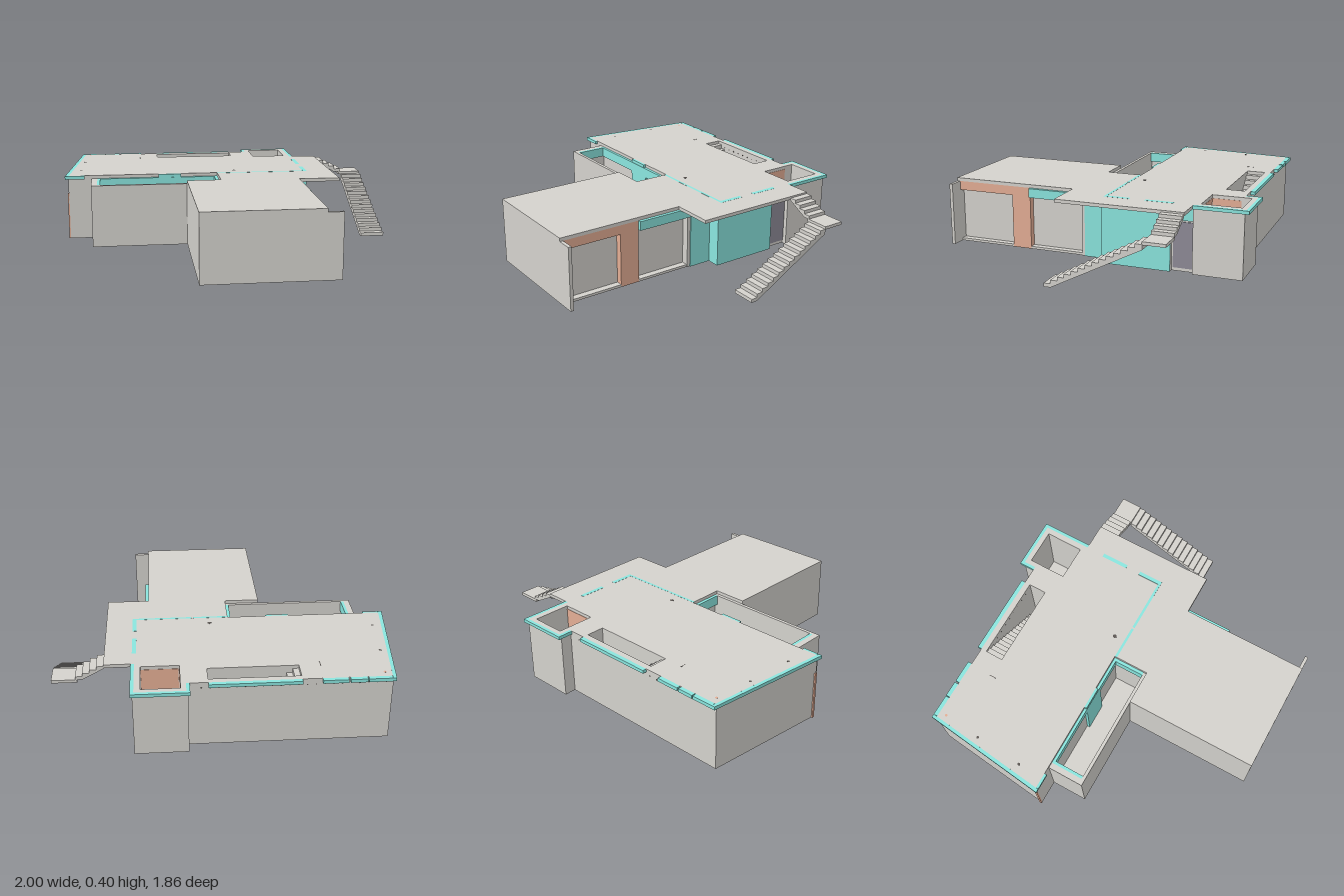
import * as THREE from 'three';

const mat = (name, color) => {
  const m = new THREE.MeshStandardMaterial({ color });
  m.name = name;
  return m;
};

export function createModel() {
  const house = new THREE.Group();
  house.name = 'house';
  const gray = mat('concrete gray', 0xd4d2cd);
  const cyan = mat('trim cyan', 0x8ae5de);
  const orange = mat('wall orange', 0xe4ae95);
  const slate = mat('door slate', 0x8e8b97);
  const dark = mat('fixture dark', 0x5c5753);

  const add = (name, geo, m) => {
    const mesh = new THREE.Mesh(geo, m);
    mesh.name = name;
    house.add(mesh);
  };
  // Box given by its limits on each axis
  const box = (name, m, x0, x1, y0, y1, z0, z1) => {
    const g = new THREE.BoxGeometry(x1 - x0, y1 - y0, z1 - z0);
    g.translate((x0 + x1) / 2, (y0 + y1) / 2, (z0 + z1) / 2);
    add(name, g, m);
  };
  // Plan outline in (x, z) raised from y0 to y1; holes wind against the outline
  const plan = (name, m, pts, y0, y1, holes = []) => {
    const v = (list) => list.map(([x, z]) => new THREE.Vector2(x, -z));
    const s = new THREE.Shape(v(pts));
    for (const h of holes) s.holes.push(new THREE.Path(v(h).reverse()));
    const g = new THREE.ExtrudeGeometry(s, { depth: y1 - y0, bevelEnabled: false });
    g.rotateX(-Math.PI / 2).translate(0, y0, 0);
    add(name, g, m);
  };
  const rect = (x0, x1, z0, z1) => [[x0, z0], [x1, z0], [x1, z1], [x0, z1]];
  // Descending flight with stepped top and sloped soffit
  const flight = (n, r0, r1, yTop, yEnd, t, width) => {
    const s = new THREE.Shape();
    const dr = (r1 - r0) / n, dy = (yTop - yEnd) / n;
    s.moveTo(r0, yTop);
    for (let i = 0; i < n; i++) {
      s.lineTo(r0 + (i + 1) * dr, yTop - i * dy);
      s.lineTo(r0 + (i + 1) * dr, yTop - (i + 1) * dy);
    }
    s.lineTo(r1 - dr, yEnd);
    s.lineTo(r0, yTop - t);
    return new THREE.ExtrudeGeometry(s, { depth: width, bevelEnabled: false });
  };

  // Shafts through the building
  const stairWell = rect(-0.4, 0.11, -0.8, -0.69);
  const lightWell = rect(0.26, 0.475, -0.88, -0.648);
  const courtyard = rect(-0.8, -0.05, -0.1, 0.1);

  // Walls
  plan('walls', gray, [
    [-0.9, -0.835], [0.22, -0.835], [0.22, -0.905], [0.52, -0.905], [0.52, -0.615],
    [0.49, -0.615], [0.49, -0.485], [0.515, -0.485], [0.515, -0.075], [0.435, -0.075],
    [0.435, 0.07], [0.39, 0.07], [0.39, 0.91], [0.52, 0.91], [0.52, 0.93], [-0.258, 0.93],
    [-0.258, 0.12], [-0.835, 0.12], [-0.835, -0.1], [-0.98, -0.1],
  ], 0, 0.38, [stairWell, lightWell, courtyard]);

  // Roof slab
  plan('roof', gray, [
    [-0.8928, -0.835], [0.23, -0.835], [0.23, -0.91], [0.51, -0.91], [0.51, -0.615],
    [0.68, -0.615], [0.68, 0.15], [0.43, 0.15], [0.43, 0.93], [-0.258, 0.93],
    [-0.258, 0.12], [-0.05, 0.12], [-0.05, -0.1], [-0.9763, -0.1],
  ], 0.38, 0.4, [stairWell, lightWell]);

  // Coloured roof edging
  plan('leftRoofTrim', cyan,
    [[-0.91, -0.86], [-0.89, -0.86], [-0.978, -0.085], [-1, -0.085]], 0.38, 0.4);
  for (const [a, b] of [[-0.89, -0.76], [-0.755, -0.66], [-0.65, -0.51], [-0.4, 0.11]])
    box('backRoofTrim', cyan, a, b, 0.38, 0.4, -0.86, -0.835);
  box('frontRoofTrim', cyan, -0.976, -0.88, 0.38, 0.4, -0.1, -0.085);
  box('courtyardRoofTrim', cyan, -0.42, -0.28, 0.38, 0.4, -0.1, -0.085);
  box('bayBackTrim', cyan, 0.21, 0.53, 0.38, 0.4, -0.93, -0.91);
  box('bayLeftTrim', cyan, 0.21, 0.23, 0.38, 0.4, -0.91, -0.835);
  box('bayRightTrim', cyan, 0.51, 0.53, 0.38, 0.4, -0.91, -0.615);

  // Thin inlays on the roof
  for (const [x0, x1, z0, z1] of [[0.5, 0.524, -0.5, -0.33], [0.5, 0.524, -0.24, -0.085],
    [-0.05, 0.16, -0.1, -0.085], [0.17, 0.5, -0.1, -0.085]])
    box('roofInlay', cyan, x0, x1, 0.398, 0.4006, z0, z1);

  // Thin wall lines showing in the underside
  for (const [m, x0, x1, z0, z1] of [[cyan, -0.05, 0.48, -0.1, -0.088],
    [orange, -0.1, 0.4, -0.2, -0.19], [orange, 0.1, 0.11, -0.6, -0.25],
    [orange, -0.6, -0.1, -0.5, -0.49]])
    box('undersideLine', m, x0, x1, -0.0006, 0.002, z0, z1);

  // Courtyard lining and floor
  box('courtyardFloor', gray, -0.8, -0.05, 0, 0.01, -0.1, 0.1);
  box('courtyardLeftBand', cyan, -0.8, -0.782, 0.32, 0.38, -0.1, 0.1);
  box('courtyardBackBand', cyan, -0.782, -0.07, 0.32, 0.38, -0.1, -0.083);
  box('courtyardRightBand', cyan, -0.07, -0.05, 0.32, 0.3799, -0.1, 0.1);
  box('courtyardBackPanel', cyan, -0.42, -0.26, 0.01, 0.32, -0.1, -0.083);

  // Light well floor and coloured inner faces
  box('lightWellFloor', gray, 0.26, 0.475, 0, 0.01, -0.88, -0.648);
  box('lightWellFrontFace', orange, 0.265, 0.475, 0.01, 0.38, -0.65, -0.648);
  box('lightWellLeftFace', orange, 0.26, 0.262, 0.01, 0.38, -0.82, -0.65);

  // Inner stair, with a coloured wall under it
  box('stairWellFace', orange, -0.4, 0.11, 0.002, 0.17, -0.692, -0.69);
  const inner = flight(15, -0.4, 0.11, 0.38, 0, 0.05, 0.11);
  add('innerStair', inner.translate(0, 0, -0.8), gray);

  // Wing windows facing right, with posts and lintels
  box('frontLintel', orange, 0.385, 0.43, 0.325, 0.38, 0.43, 0.91);
  box('middleLintel', cyan, 0.385, 0.45, 0.325, 0.38, 0.07, 0.43);
  box('orangePost', orange, 0.385, 0.43, 0, 0.325, 0.43, 0.55);
  box('windowJamb', gray, 0.385, 0.435, 0, 0.325, 0.07, 0.09);
  for (const [z0, z1] of [[0.09, 0.43], [0.55, 0.91]])
    box('windowSill', gray, 0.385, 0.43, 0, 0.015, z0, z1);

  // Cyan side walls and entrance
  box('sideWallFront', cyan, 0.435, 0.44, 0, 0.38, -0.075, 0.07);
  box('sideWallReturn', cyan, 0.435, 0.515, 0, 0.38, -0.077, -0.07);
  box('sideWallBack', cyan, 0.515, 0.52, 0, 0.38, -0.485, -0.07);
  box('entranceLintel', cyan, 0.485, 0.5, 0.3, 0.38, -0.615, -0.485);
  box('door', slate, 0.488, 0.496, 0.02, 0.29, -0.613, -0.494);
  box('leftCornerPlate', orange, -0.986, -0.977, 0, 0.29, -0.115, -0.1);

  // Outside stair: short flight, landing, long flight
  add('upperStair', flight(4, 0.68, 0.84, 0.39, 0.31, 0.015, 0.13).translate(0, 0, -0.615), gray);
  box('stairLanding', gray, 0.83, 0.975, 0.292, 0.31, -0.615, -0.485);
  const lower = flight(14, -0.487, 0.067, 0.295, 0, 0.03, 0.13);
  lower.rotateY(-Math.PI / 2).translate(0.975, 0, 0);
  const p = lower.attributes.position;
  for (let i = 0; i < p.count; i++) {
    const t = (p.getZ(i) + 0.487) / 0.554;
    p.setX(i, p.getX(i) + t * (p.getX(i) > 0.9 ? 0.023 : 0.008));
  }
  lower.computeVertexNormals();
  add('lowerStair', lower, gray);

  // Roof fixtures and a row of small vents through the back wall
  for (const [x, z, r, m] of [[-0.86, -0.79, 0.008, orange], [-0.885, -0.555, 0.008, dark],
    [-0.905, -0.26, 0.008, dark], [0.065, -0.165, 0.012, dark]])
    add('roofDrain', new THREE.CylinderGeometry(r, r, 0.004, 12).translate(x, 0.3988, z), m);
  box('roofSlit', dark, -0.522, -0.518, 0.398, 0.4008, -0.7, -0.66);
  for (let i = 0; i < 22; i++) {
    const x = -0.86 + i * 0.048;
    box('wallVent', dark, x - 0.003, x + 0.003, 0.362, 0.368, -0.836, -0.799);
  }
  return house;
}
